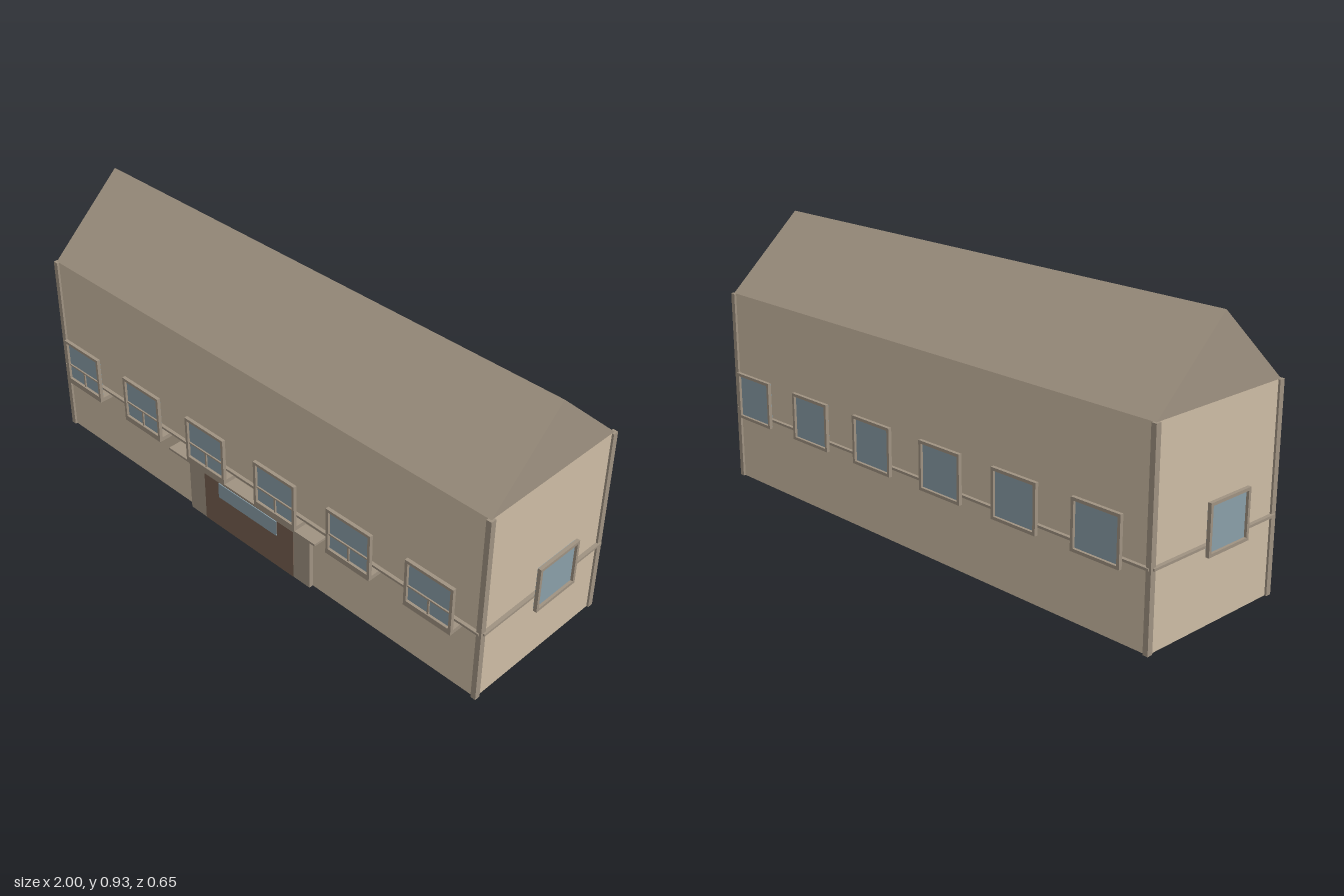
import * as THREE from 'three';

const mat = (color) => new THREE.MeshStandardMaterial({ color });
const wallMat = mat(0xcdbca4);
const trimMat = mat(0x9f9281);
const glassMat = mat(0x8a9ea8);
const doorMat = mat(0x755f4f);

const HALF_X = 0.948, HALF_Z = 0.275, EAVES = 0.675, RIDGE = 0.928;

// Box given by its minimum and maximum corners
function box(parent, name, material, [x0, y0, z0], [x1, y1, z1]) {
  const mesh = new THREE.Mesh(new THREE.BoxGeometry(x1 - x0, y1 - y0, z1 - z0), material);
  mesh.position.set((x0 + x1) / 2, (y0 + y1) / 2, (z0 + z1) / 2);
  mesh.name = name;
  parent.add(mesh);
  return mesh;
}

// Window facing +z, its outer face at z = 0; origin at floor level
function makeWindow(name, withSill) {
  const g = new THREE.Group();
  g.name = name;
  const w = 0.09, t = 0.01, bottom = 0.248, top = 0.411;
  const s = new THREE.Shape();
  s.moveTo(-w, bottom).lineTo(w, bottom).lineTo(w, top).lineTo(-w, top).closePath();
  const hole = new THREE.Path();
  hole.moveTo(-w + t, bottom + t).lineTo(-w + t, top - t).lineTo(w - t, top - t).lineTo(w - t, bottom + t).closePath();
  s.holes.push(hole);
  const frame = new THREE.Mesh(new THREE.ExtrudeGeometry(s, { depth: 0.012, bevelEnabled: false }), trimMat);
  frame.position.z = -0.012;
  frame.name = 'windowFrame';
  g.add(frame);
  box(g, 'windowGlass', glassMat, [-w + t / 2, bottom + t / 2, -0.016], [w - t / 2, top - t / 2, -0.009]);
  if (withSill) {
    box(g, 'transom', trimMat, [-w + t, 0.311, -0.01], [w - t, 0.316, -0.004]);
    box(g, 'mullion', trimMat, [-0.003, bottom + t, -0.01], [0.003, 0.311, -0.004]);
    box(g, 'windowSill', trimMat, [-w, 0.238, -0.052], [w, 0.253, 0]);
  }
  return g;
}

export function createModel() {
  const model = new THREE.Group();
  model.name = 'house';

  box(model, 'walls', wallMat, [-HALF_X, 0, -HALF_Z], [HALF_X, EAVES, HALF_Z]);

  // Gabled roof
  const gable = new THREE.Shape();
  gable.moveTo(-HALF_Z, EAVES).lineTo(HALF_Z, EAVES).lineTo(0, RIDGE).closePath();
  const roof = new THREE.Mesh(
    new THREE.ExtrudeGeometry(gable, { depth: 2 * HALF_X, bevelEnabled: false }), trimMat);
  roof.rotation.y = Math.PI / 2;
  roof.position.x = -HALF_X;
  roof.name = 'roof';
  model.add(roof);

  // Corner posts and belt course
  for (const sx of [-1, 1]) {
    for (const sz of [-1, 1]) {
      const post = box(model, 'cornerPost', trimMat, [-0.009, 0, -0.01], [0.009, EAVES, 0.01]);
      post.position.x = sx * 0.946;
      post.position.z = sz * 0.273;
    }
    const side = box(model, 'sideBelt', trimMat, [-0.008, 0.255, -HALF_Z], [0.008, 0.263, HALF_Z]);
    side.position.x = sx * 0.953;
    const long = box(model, 'longBelt', trimMat, [-HALF_X, 0.255, -0.008], [HALF_X, 0.263, 0.008]);
    long.position.z = sx * 0.279;
  }

  // Windows standing slightly proud of the walls
  for (const x of [-0.79, -0.475, -0.16, 0.16, 0.475, 0.79]) {
    const front = makeWindow('frontWindow', true);
    front.position.set(x, 0, 0.327);
    const back = makeWindow('backWindow', false);
    back.position.set(x, 0, -0.327);
    back.rotation.y = Math.PI;
    model.add(front, back);
  }
  for (const s of [-1, 1]) {
    const end = makeWindow('endWindow', false);
    end.position.x = s;
    end.rotation.y = s * Math.PI / 2;
    model.add(end);
  }

  // Entrance
  const entrance = new THREE.Group();
  entrance.name = 'entrance';
  model.add(entrance);
  box(entrance, 'doorPier', trimMat, [-0.283, 0, 0.27], [-0.208, 0.23, 0.29]);
  box(entrance, 'doorPier', trimMat, [0.208, 0, 0.27], [0.28, 0.23, 0.29]);
  box(entrance, 'doorLintel', trimMat, [-0.208, 0.2, 0.27], [0.208, 0.23, 0.29]);
  box(entrance, 'door', doorMat, [-0.208, 0, 0.27], [0.208, 0.2, 0.291]);
  box(entrance, 'doorGlass', glassMat, [-0.137, 0.129, 0.285], [0.134, 0.187, 0.294]);
  box(entrance, 'canopy', trimMat, [-0.342, 0.23, 0.27], [0.337, 0.238, 0.325]);

  return model;
}
